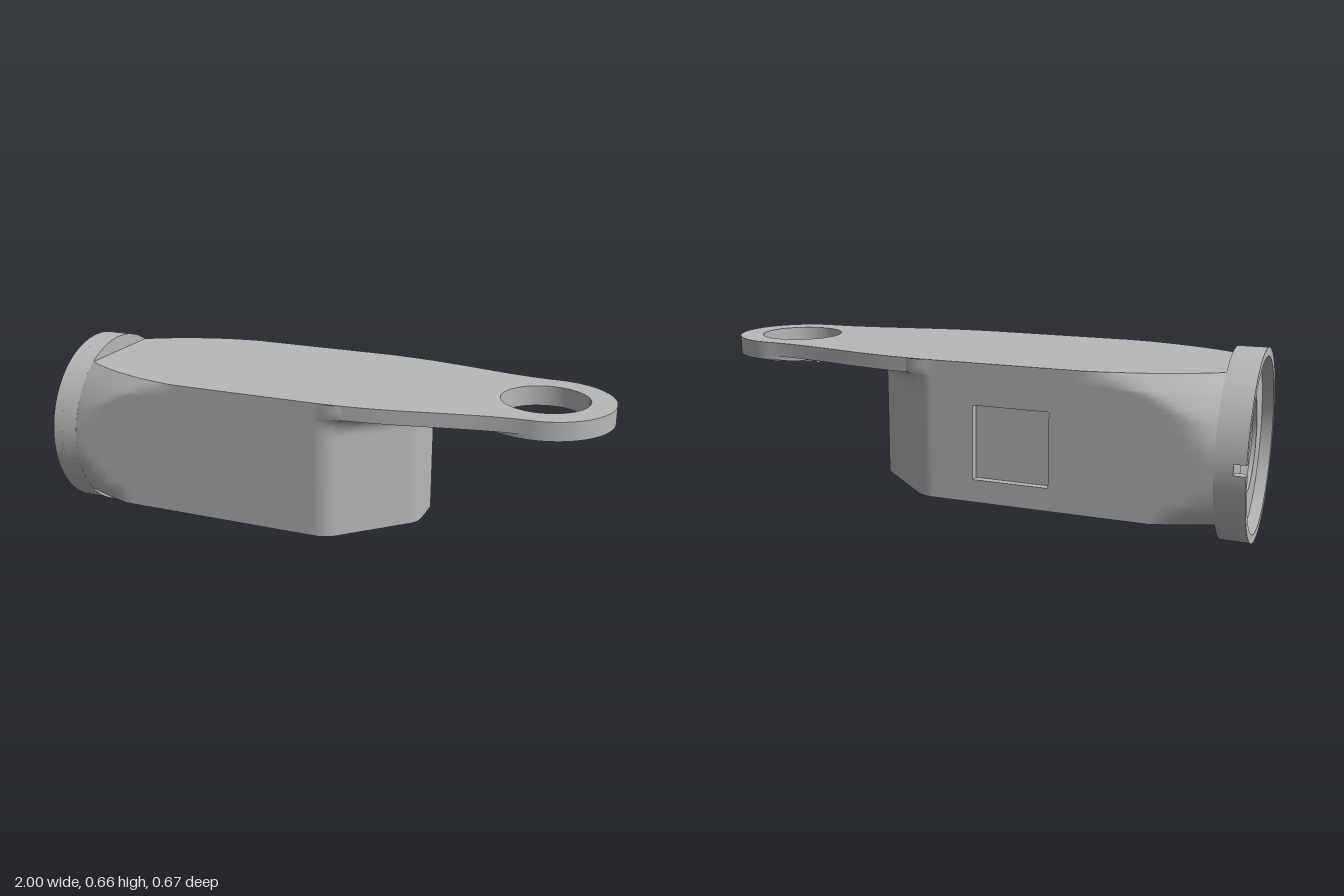
import * as THREE from 'three';
import { toCreasedNormals } from 'three/addons/utils/BufferGeometryUtils.js';

const grey = new THREE.MeshStandardMaterial({ color: 0xb8b8b8 });
grey.name = 'satin grey';

const AXIS = 0.33, BOTTOM = 0.12, TOP = 0.605, HALF = 0.33, COLLAR = -0.9;
const PLATE_Y = 0.555, PLATE_X = 0.06, EYE_X = 0.765, EYE_R = 0.235, HOLE_R = 0.15;
const WIN = { x0: -0.36, x1: -0.09, y0: 0.2, y1: 0.46, depth: 0.03 };
const V = (x, y) => new THREE.Vector2(x, y);

function part(name, geometry, x = 0, y = 0, z = 0) {
  const mesh = new THREE.Mesh(geometry, grey);
  mesh.name = name;
  mesh.position.set(x, y, z);
  return mesh;
}

// The round collar section swells into a flat-sided section
function halfWidth(x, y) {
  const s = Math.min(1, (x - COLLAR) / 0.5);
  const r = 0.33 + 0.102 * (1 - Math.pow(1 - s, 1.8));
  return Math.min(HALF, Math.sqrt(r * r - (y - AXIS) ** 2));
}

// Footprint from the collar on the left side, round the nose, back to the collar
function footprint() {
  const xs = [WIN.x0, WIN.x1];
  for (let i = 0; i <= 37; i++) xs.push(COLLAR + i * 0.025);
  xs.sort((a, b) => a - b);
  const half = xs.map((x) => V(x, HALF));
  half.push(...new THREE.QuadraticBezierCurve(V(PLATE_X, HALF), V(0.1, HALF), V(0.131, 0.301)).getPoints(6));
  for (const t of [0.25, 0.5, 0.75]) half.push(V(0.131 + 0.203 * t, 0.301 - 0.1915 * t));
  half.push(...new THREE.QuadraticBezierCurve(V(0.334, 0.1095), V(0.36, 0.085), V(0.36, 0.05)).getPoints(6));
  return [...half, ...half.map((p) => V(p.x, -p.y)).reverse()];
}

// Body wall with an opening for the side window and a fillet under the plate
function wallGeometry(path) {
  const ys = [BOTTOM, 0.16, 0.2, 0.25, 0.29, 0.33, 0.37, 0.41, 0.46, 0.485,
    0.5, 0.515, 0.53, 0.54, 0.548, PLATE_Y, 0.58, TOP];
  const pos = [], idx = [], n = ys.length;
  path.forEach((p, i) => {
    const a = path[Math.max(0, i - 1)], b = path[Math.min(path.length - 1, i + 1)];
    const d = b.clone().sub(a).normalize();
    const k = THREE.MathUtils.smoothstep(p.x, PLATE_X, 0.2);
    for (const y of ys) {
      const t = THREE.MathUtils.clamp(y - 0.485, 0, 0.07);
      const flare = k * (0.07 - Math.sqrt(Math.max(0, 0.0049 - t * t)));
      const z = Math.sign(p.y) * Math.min(Math.abs(p.y), halfWidth(p.x, y));
      pos.push(p.x - d.y * flare, y, z + d.x * flare);
    }
  });
  for (let i = 0; i < path.length - 1; i++) {
    const mx = (path[i].x + path[i + 1].x) / 2;
    for (let j = 0; j < n - 1; j++) {
      const my = (ys[j] + ys[j + 1]) / 2;
      if (path[i].y < 0 && mx > WIN.x0 && mx < WIN.x1 && my > WIN.y0 && my < WIN.y1) continue;
      const a = i * n + j, b = a + n;
      idx.push(a, b, b + 1, a, b + 1, a + 1);
    }
  }
  const g = new THREE.BufferGeometry();
  g.setAttribute('position', new THREE.Float32BufferAttribute(pos, 3));
  g.setIndex(idx);
  g.computeVertexNormals();
  return g;
}

// Flat cap following the footprint at height y
function capGeometry(path, y, up) {
  const pts = path.map((p) => V(p.x, Math.sign(p.y) * Math.min(Math.abs(p.y), halfWidth(p.x, y))));
  return new THREE.ShapeGeometry(new THREE.Shape(pts)).rotateX(up ? -Math.PI / 2 : Math.PI / 2);
}

function circleHole(x, r) {
  return new THREE.Path().absarc(x, 0, r, 0, Math.PI * 2, true);
}

function extrude(shape, depth) {
  const g = new THREE.ExtrudeGeometry(shape, { depth, bevelEnabled: false, curveSegments: 64 });
  return toCreasedNormals(g, 0.5);
}

// Tapering top plate that ends in the eye
function plateGeometry() {
  const s = new THREE.Shape();
  s.moveTo(PLATE_X, -HALF);
  s.bezierCurveTo(0.35, -HALF, 0.55, -EYE_R, EYE_X, -EYE_R);
  s.absarc(EYE_X, 0, EYE_R, -Math.PI / 2, Math.PI / 2, false);
  s.bezierCurveTo(0.55, EYE_R, 0.35, HALF, PLATE_X, HALF);
  s.closePath();
  s.holes.push(circleHole(EYE_X, HOLE_R));
  return extrude(s, TOP - PLATE_Y).rotateX(-Math.PI / 2);
}

function ringGeometry(outer, depth) {
  const s = new THREE.Shape().absarc(0, 0, outer, 0, Math.PI * 2, false);
  s.holes.push(circleHole(0, HOLE_R));
  return extrude(s, depth).rotateX(-Math.PI / 2);
}

// Collar rim, open at a small slot on the right-hand side
function rimGeometry() {
  const gap = 0.055, end = Math.PI * 2 - gap;
  const s = new THREE.Shape();
  s.absarc(0, 0, 0.33, gap, end, false);
  s.absarc(0, 0, 0.3, end, gap, true);
  s.closePath();
  return extrude(s, 0.04).rotateY(Math.PI / 2);
}

// Collar base with a shallow round pocket in its end
function collarGeometry() {
  const profile = [[0, -0.945], [0.18, -0.945], [0.18, -0.96], [0.33, -0.96], [0.33, COLLAR], [0, COLLAR]];
  const g = new THREE.LatheGeometry(profile.map(([r, x]) => V(r, x)), 96);
  return toCreasedNormals(g, 0.5).rotateZ(-Math.PI / 2);
}

// Frame that forms the walls of the window recess
function windowFrameGeometry() {
  const w = (WIN.x1 - WIN.x0) / 2, h = (WIN.y1 - WIN.y0) / 2, e = 0.02;
  const rect = (a, b) => [V(-a, -b), V(a, -b), V(a, b), V(-a, b)];
  const s = new THREE.Shape(rect(w + e, h + e));
  s.holes.push(new THREE.Path(rect(w, h).reverse()));
  return extrude(s, WIN.depth - 0.001);
}

export function createModel() {
  const model = new THREE.Group();
  model.name = 'armLink';
  const path = footprint();
  const rear = path.filter((p) => p.x <= PLATE_X + 1e-6);

  const body = new THREE.Group();
  body.name = 'body';
  body.add(
    part('bodyWall', wallGeometry(path)),
    part('bodyTop', capGeometry(rear, TOP, true), 0, TOP),
    part('bodyBottom', capGeometry(path, BOTTOM, false), 0, BOTTOM)
  );

  const collar = new THREE.Group();
  collar.name = 'collar';
  collar.add(
    part('collarBase', collarGeometry(), 0, AXIS),
    part('collarRim', rimGeometry(), -1, AXIS)
  );

  const lug = new THREE.Group();
  lug.name = 'lug';
  lug.add(
    part('topPlate', plateGeometry(), 0, PLATE_Y),
    part('eyeBoss', ringGeometry(EYE_R, 0.015), EYE_X, 0.54),
    part('eyeLip', ringGeometry(0.22, 0.006), EYE_X, 0.534)
  );
  // Small locating tabs beside the eye
  for (const side of [1, -1]) {
    const tab = part('eyeTab', new THREE.BoxGeometry(0.05, 0.02, 0.025), EYE_X - 0.172, 0.546, side * 0.172);
    tab.rotation.y = side * Math.PI / 4;
    lug.add(tab);
  }

  const recess = new THREE.Group();
  recess.name = 'sideWindow';
  const cx = (WIN.x0 + WIN.x1) / 2, cy = (WIN.y0 + WIN.y1) / 2;
  recess.add(
    part('windowFrame', windowFrameGeometry(), cx, cy, -HALF + 0.001),
    part('windowFloor', new THREE.BoxGeometry(0.31, 0.3, 0.01), cx, cy, -HALF + WIN.depth + 0.005)
  );

  model.add(body, collar, lug, recess);
  return model;
}
